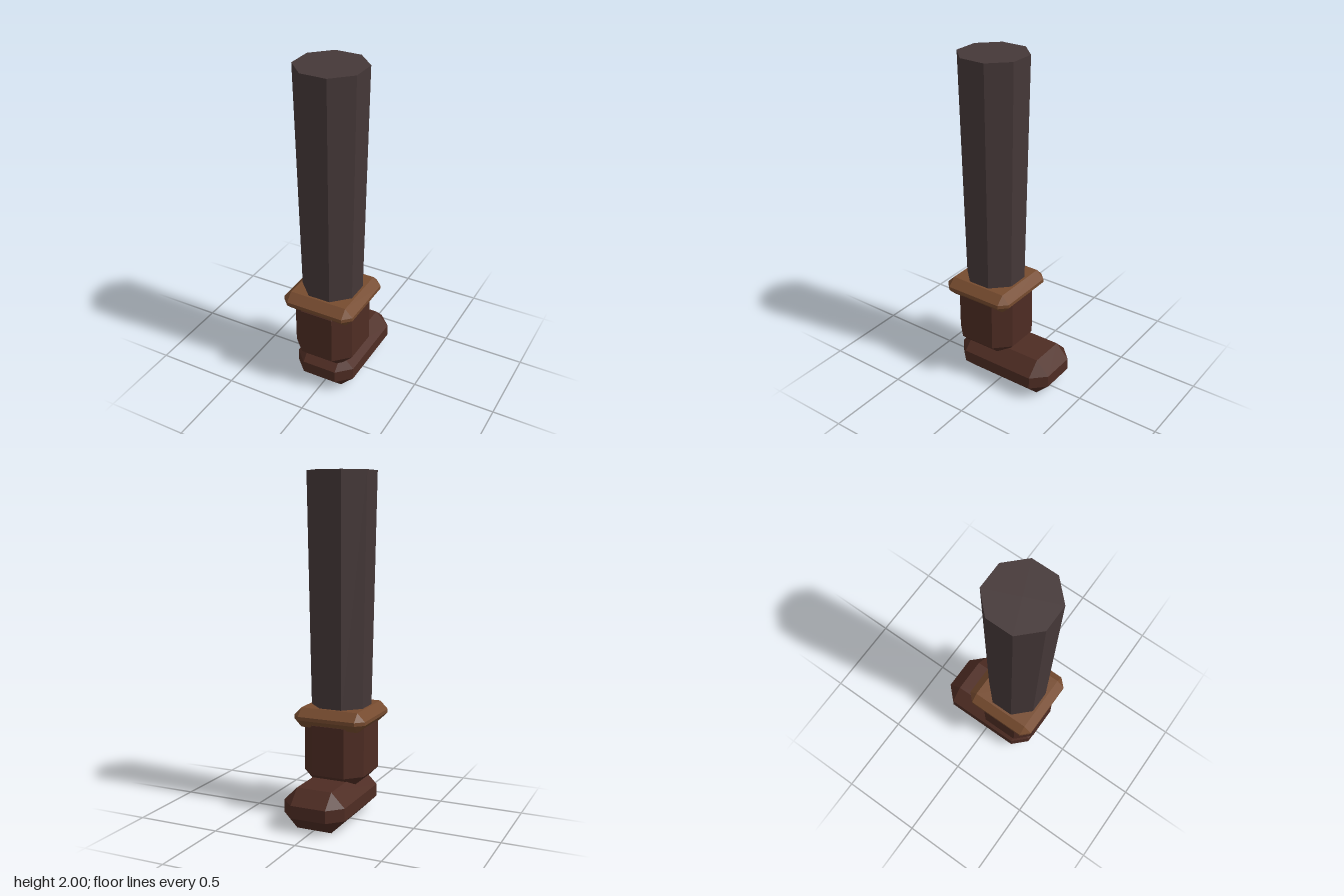
import * as THREE from 'three';
import { ConvexGeometry } from 'three/addons/geometries/ConvexGeometry.js';

const material = (name, color) => {
  const m = new THREE.MeshStandardMaterial({ color, flatShading: true });
  m.name = name;
  return m;
};

// Box with every edge cut back by c; each corner becomes a triangle
function chamferBox(w, h, d, c) {
  const half = [w / 2, h / 2, d / 2];
  const points = [];
  for (const sx of [-1, 1]) for (const sy of [-1, 1]) for (const sz of [-1, 1]) {
    for (let axis = 0; axis < 3; axis++) {
      const p = half.map((v, i) => (i === axis ? v : v - c));
      points.push(new THREE.Vector3(sx * p[0], sy * p[1], sz * p[2]));
    }
  }
  return new ConvexGeometry(points);
}

export function createModel() {
  const group = new THREE.Group();
  group.name = 'bootedLeg';
  const cloth = material('dark cloth', 0x453838);
  const leather = material('brown leather', 0x4e2c23);
  const trim = material('tan leather', 0x764b2f);

  const add = (name, geometry, mat, y, z) => {
    const mesh = new THREE.Mesh(geometry, mat);
    mesh.name = name;
    mesh.position.set(0, y, z);
    group.add(mesh);
  };

  // Foot, with the toe towards -z
  add('foot', chamferBox(0.376, 0.237, 0.635, 0.082), leather, 0.1185, -0.0245);
  // Ankle part of the boot
  add('bootShaft', chamferBox(0.376, 0.47, 0.397, 0.088), leather, 0.405, 0.1185);
  // Folded cuff
  add('cuff', chamferBox(0.446, 0.115, 0.448, 0.047), trim, 0.5925, 0.116);

  // Tapered eight-sided leg, flat sides facing the axes
  const flat = Math.cos(Math.PI / 8);
  const leg = new THREE.CylinderGeometry(0.186 / flat, 0.161 / flat, 1.43, 8);
  leg.rotateY(Math.PI / 8);
  add('leg', leg, cloth, 1.285, 0.117);

  return group;
}
